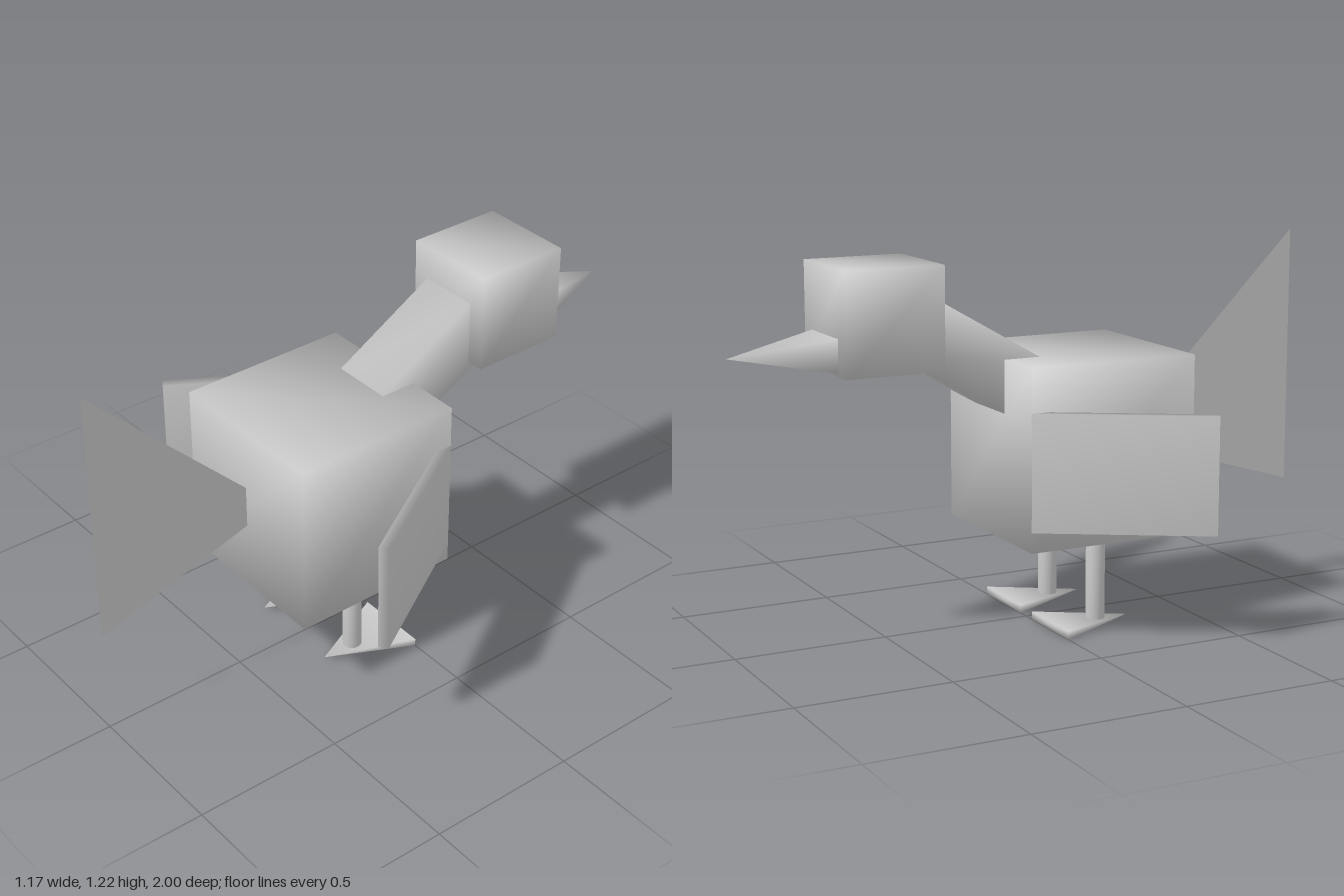
import * as THREE from 'three';
import { mergeVertices } from 'three/addons/utils/BufferGeometryUtils.js';

const material = new THREE.MeshStandardMaterial({ color: 0xcccccc });
const thinMaterial = new THREE.MeshStandardMaterial({ color: 0xcccccc, side: THREE.DoubleSide });

// Share corners so the shading runs smoothly round the edges
function soften(geometry) {
  geometry.deleteAttribute('normal');
  geometry.deleteAttribute('uv');
  const merged = mergeVertices(geometry, 1e-4);
  merged.computeVertexNormals();
  return merged;
}

const box = (w, h, d) => soften(new THREE.BoxGeometry(w, h, d));

// Four-sided pyramid lying along z, its tip towards dir
function spike(w, h, length, dir) {
  const g = new THREE.ConeGeometry(Math.SQRT1_2, 1, 4);
  g.rotateY(Math.PI / 4).rotateX(dir * Math.PI / 2).scale(w, h, length);
  return soften(g);
}

export function createModel() {
  const group = new THREE.Group();
  const add = (name, geometry, x, y, z, mat = material) => {
    const mesh = new THREE.Mesh(geometry, mat);
    mesh.name = name;
    mesh.position.set(x, y, z);
    group.add(mesh);
    return mesh;
  };

  // Body, sloping neck, head and beak
  add('body', box(0.58, 0.58, 0.58), 0, 0.585, 0.16);
  add('neck', box(0.21, 0.21, 0.52), 0, 0.88, -0.225).rotation.x = Math.PI / 6;
  add('head', box(0.326, 0.326, 0.326), 0, 1.028, -0.522);
  add('beak', spike(0.21, 0.105, 0.315, -1), 0, 0.928, -0.8425);

  // Flat tail fan, drawn in the (-z, y) plane and turned upright along the body
  const fan = new THREE.Shape([
    new THREE.Vector2(-0.34, 0.56),
    new THREE.Vector2(-1, 0.36),
    new THREE.Vector2(-1, 1.22),
  ]);
  add('tail', new THREE.ShapeGeometry(fan).rotateY(Math.PI / 2), 0, 0, 0, thinMaterial);

  // Mirrored wings, legs and webbed feet
  for (const [side, s] of [['left', 1], ['right', -1]]) {
    add(side + 'Wing', box(0.033, 0.375, 0.573), s * 0.424, 0.548, 0.123).rotation.y = s * 0.545;
    add(side + 'Leg', soften(new THREE.CylinderGeometry(0.031, 0.031, 0.32, 16)), s * 0.165, 0.17, 0.165);
    add(side + 'Foot', spike(0.25, 0.026, 0.28, 1), s * 0.165, 0.013, 0.14);
  }
  return group;
}
